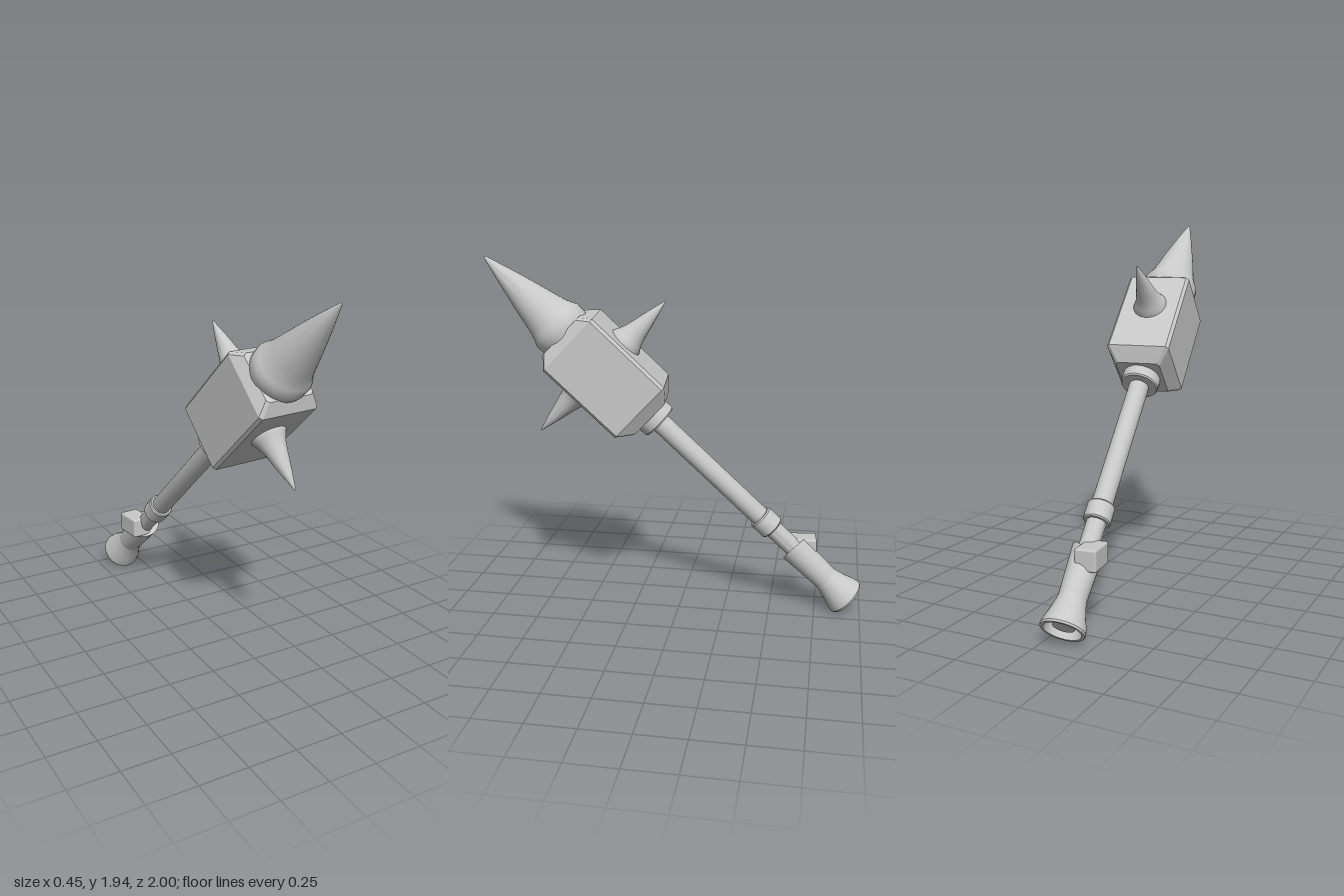
import * as THREE from 'three';
import { toCreasedNormals } from 'three/addons/utils/BufferGeometryUtils.js';
import { RoundedBoxGeometry } from 'three/addons/geometries/RoundedBoxGeometry.js';
import { ConvexGeometry } from 'three/addons/geometries/ConvexGeometry.js';

const stone = new THREE.MeshStandardMaterial({ color: 0xc8c8c8 });
stone.name = 'light grey';

function part(name, geometry, parent) {
  const mesh = new THREE.Mesh(geometry, stone);
  mesh.name = name;
  parent.add(mesh);
  return mesh;
}

// Turned solid from [radius, height] pairs, running bottom to top
function turned(profile, segments = 32) {
  const points = profile.map(([r, y]) => new THREE.Vector2(r, y));
  return toCreasedNormals(new THREE.LatheGeometry(points, segments), 0.6);
}

// Octagonal ring of points: a rectangle with slightly cut corners
function cutRectangle(w, d, y, cut) {
  const ring = [];
  for (const sx of [-1, 1]) for (const sz of [-1, 1]) {
    ring.push(new THREE.Vector3(sx * w, y, sz * (d - cut)));
    ring.push(new THREE.Vector3(sx * (w - cut), y, sz * d));
  }
  return ring;
}

export function createModel() {
  const model = new THREE.Group();
  model.name = 'spikedHammer';

  // The whole weapon leans forward and is turned slightly; local y is the shaft
  const weapon = new THREE.Group();
  weapon.name = 'weapon';
  weapon.position.set(-0.115, 0.084, -0.924);
  weapon.rotation.set(0.8045, 0.1007, 0, 'YXZ');
  model.add(weapon);

  // Flared pommel, hollow below with a core inside
  part('pommel', turned([
    [0, 0.02], [0.054, 0.02], [0.054, 0.07], [0.08, 0.07], [0.094, 0], [0.108, 0],
    [0.112, 0.01], [0.105, 0.04], [0.088, 0.09], [0.075, 0.14], [0.068, 0.18], [0, 0.18],
  ]), weapon);

  // Grip sleeve with a slanted upper lip
  const grip = new THREE.CylinderGeometry(0.079, 0.07, 0.25, 32);
  const p = grip.attributes.position;
  for (let i = 0; i < p.count; i++) {
    if (p.getY(i) > 0) p.setY(i, p.getY(i) + 0.4 * p.getX(i));
  }
  part('grip', toCreasedNormals(grip, 0.6), weapon).position.y = 0.285;

  // Shaft and its collars
  part('shaft', turned([[0, 0.3], [0.05, 0.3], [0.05, 0.6], [0.054, 0.62], [0.054, 1.48], [0, 1.48]]), weapon);
  part('shaftCollar', turned([
    [0, 0.58], [0.064, 0.58], [0.07, 0.587], [0.07, 0.673], [0.064, 0.68], [0, 0.68],
  ]), weapon);
  part('headCollar', turned([
    [0, 1.435], [0.097, 1.435], [0.103, 1.443], [0.103, 1.52], [0, 1.52],
  ]), weapon);

  // Square block on the side of the grip, level with the ground
  const block = part('gripBlock', new RoundedBoxGeometry(0.112, 0.112, 0.165, 3, 0.012), model);
  block.position.set(-0.13, 0.37, -0.665);
  block.rotation.y = 0.1;

  // Hammer head with bevelled ends
  const head = new ConvexGeometry([
    ...cutRectangle(0.125, 0.12, 1.498, 0.015),
    ...cutRectangle(0.175, 0.187, 1.565, 0.015),
    ...cutRectangle(0.175, 0.187, 2.068, 0.015),
    ...cutRectangle(0.14, 0.135, 2.125, 0.015),
  ]);
  part('head', toCreasedNormals(head, 0.2), weapon);

  // Large spike on the end, with a swollen foot
  part('endSpike', turned([
    [0.14, 2.08], [0.154, 2.13], [0.155, 2.175], [0.143, 2.2], [0.128, 2.235], [0.116, 2.28],
    [0.086, 2.4], [0.045, 2.55], [0.006, 2.68], [0, 2.685],
  ]), weapon);

  // Matching spikes on the front and back faces
  for (const side of [-1, 1]) {
    const spike = part(side > 0 ? 'frontSpike' : 'backSpike', turned([
      [0.094, -0.02], [0.092, 0.005], [0.078, 0.03], [0.065, 0.06], [0.055, 0.095],
      [0.03, 0.2], [0.004, 0.297], [0, 0.302],
    ]), weapon);
    spike.position.set(0, 1.858, side * 0.185);
    spike.rotation.x = side * Math.PI / 2;
  }

  return model;
}
